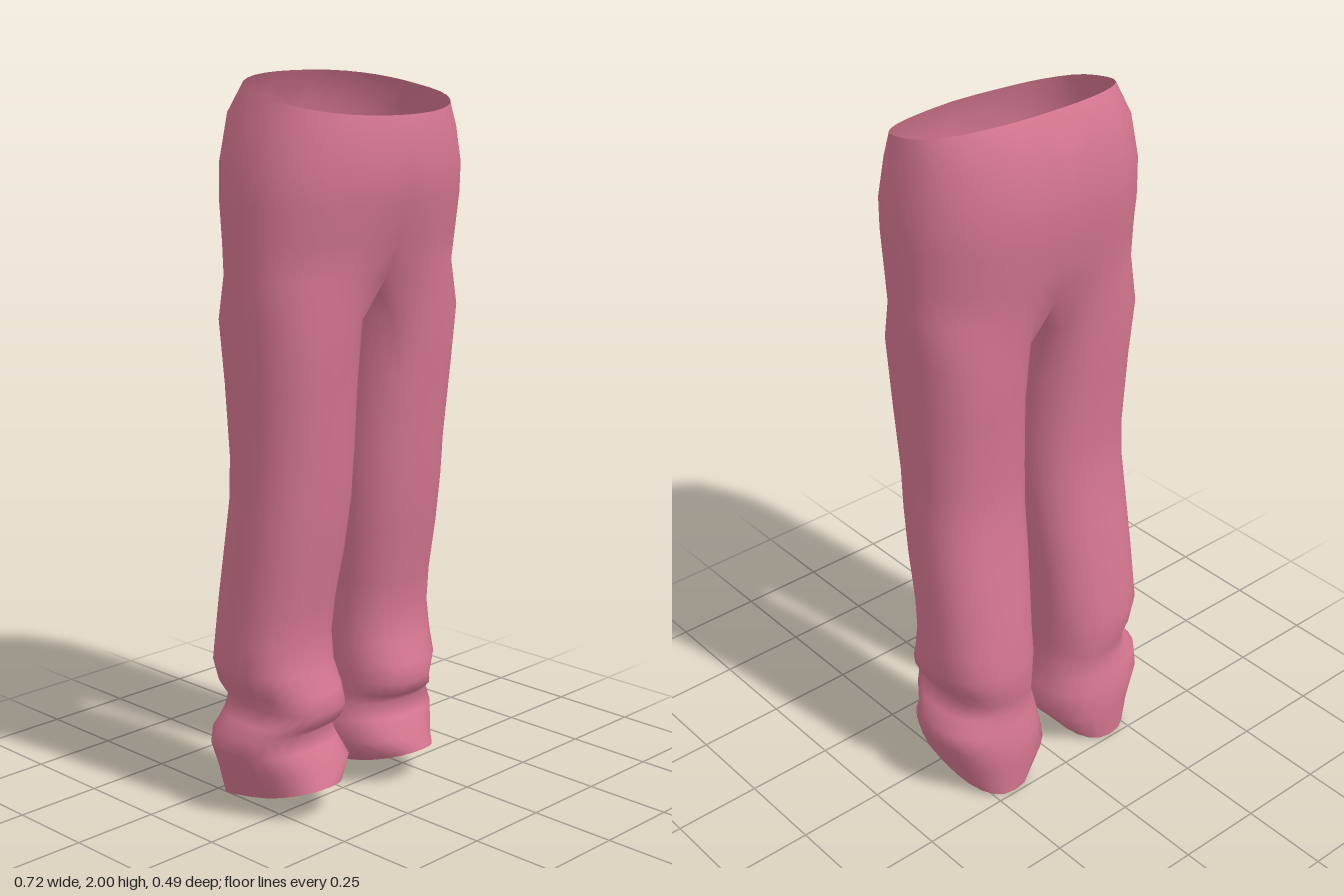
import * as THREE from 'three';
import { mergeVertices } from 'three/addons/utils/BufferGeometryUtils.js';

const OUTER = 18; // segments from the front centre seam round the hip to the back
const INNER = 6;  // segments along the inside of the leg

// Hip rows, top down: [y, half width, front z, back z, tilt, front seam offset, back seam offset]
const HIPS = [
  [1.95, 0.314, 0.217, -0.175, 0.05, 0.006, 0],
  [1.88, 0.336, 0.234, -0.23, 0.035, 0.006, 0.008],
  [1.77, 0.359, 0.239, -0.244, 0.015, 0.009, 0.012],
  [1.68, 0.362, 0.232, -0.24, 0, 0.004, 0.014],
  [1.58, 0.362, 0.212, -0.223, 0, -0.008, 0.02],
  [1.49, 0.361, 0.196, -0.214, 0, -0.03, 0.03],
];

// Leg rows, top down: [y, outer x, inner x, front z, back z, front lift]
const LEGS = [
  [1.37, 0.358, 0.012, 0.174, -0.194, 0],
  [1.2, 0.35, 0.02, 0.156, -0.176, 0],
  [1.0, 0.341, 0.016, 0.135, -0.165, 0],
  [0.88, 0.343, 0.017, 0.124, -0.167, 0],
  [0.75, 0.346, 0.022, 0.106, -0.186, 0],
  [0.6, 0.346, 0.035, 0.08, -0.21, 0],
  [0.5, 0.349, 0.04, 0.07, -0.222, 0],
  [0.42, 0.351, 0.041, 0.083, -0.235, 0],
  [0.36, 0.335, 0.041, 0.115, -0.233, 0],
  [0.31, 0.302, 0.041, 0.125, -0.226, 0],
  [0.27, 0.328, 0.039, 0.105, -0.22, 0],
  [0.232, 0.36, 0.035, 0.06, -0.228, 0.005],
  [0.185, 0.358, 0.025, 0.085, -0.245, 0.015],
  [0.12, 0.332, 0.006, 0.115, -0.246, 0.03],
  [0.05, 0.302, 0.07, 0.134, -0.242, 0.05],
];

const power = (v, p) => Math.sign(v) * Math.abs(v) ** p;

// Half of a hip ring, from front centre over the side to back centre
function hipRow([y, width, front, back, tilt, frontSeam, backSeam]) {
  const row = [];
  for (let i = 0; i <= OUTER; i++) {
    const t = (i / OUTER) * Math.PI;
    const x = i % OUTER ? width * power(Math.sin(t), 0.87) : 0;
    const seam = Math.exp(-((x / 0.09) ** 2)) * (i < OUTER / 2 ? frontSeam : backSeam);
    const z = (front + back) / 2 + ((front - back) / 2) * power(Math.cos(t), 0.87) + seam;
    row.push([x, y - tilt * Math.cos(t), z]);
  }
  return row;
}

// Closed leg ring, starting at the front inner corner
function legRow([y, outer, inner, front, back, lift]) {
  const row = [], count = OUTER + INNER;
  for (let i = 0; i < count; i++) {
    const a = -Math.PI / 4 + (i / count) * Math.PI * 2;
    row.push([
      (outer + inner) / 2 + ((outer - inner) / 2) * power(Math.sin(a), 0.84),
      y + lift * Math.cos(a),
      (front + back) / 2 + ((front - back) / 2) * power(Math.cos(a), 0.84),
    ]);
  }
  return row;
}

// Trousers surface: two mirrored halves joined along the centre seam
function trousersGeometry() {
  const positions = [], index = [];

  const addStrip = (rows, closed, side) => {
    const start = positions.length / 3, n = rows[0].length;
    rows.flat().forEach(([x, y, z]) => positions.push(x * side, y, z));
    for (let r = 0; r < rows.length - 1; r++) {
      for (let i = 0; i < (closed ? n : n - 1); i++) {
        const j = (i + 1) % n;
        const a = start + r * n + i, d = start + r * n + j;
        const b = a + n, c = d + n;
        if (side > 0) index.push(a, b, c, a, c, d);
        else index.push(a, c, b, a, d, c);
      }
    }
  };

  const hips = HIPS.map(hipRow);
  // Crotch arch closes the last hip half ring into the top of the leg
  const last = hips[hips.length - 1];
  const front = last[0], back = last[OUTER];
  const top = [...last];
  for (let k = 1; k < INNER; k++) {
    const u = k / INNER;
    top.push([0, front[1] - 0.055 * Math.sin(u * Math.PI), back[2] + (front[2] - back[2]) * u]);
  }
  const legs = [top, ...LEGS.map(legRow)];

  for (const side of [1, -1]) {
    addStrip(hips, false, side);
    addStrip(legs, true, side);
  }

  const geometry = new THREE.BufferGeometry();
  geometry.setAttribute('position', new THREE.Float32BufferAttribute(positions, 3));
  geometry.setIndex(index);
  const merged = mergeVertices(geometry, 1e-4);
  merged.computeVertexNormals();
  return merged;
}

export function createModel() {
  const cloth = new THREE.MeshStandardMaterial({ color: 0xd4768f, side: THREE.DoubleSide });
  cloth.name = 'rose cloth';

  const group = new THREE.Group();
  group.name = 'trousers';
  const mesh = new THREE.Mesh(trousersGeometry(), cloth);
  mesh.name = 'trouserCloth';
  group.add(mesh);
  return group;
}
